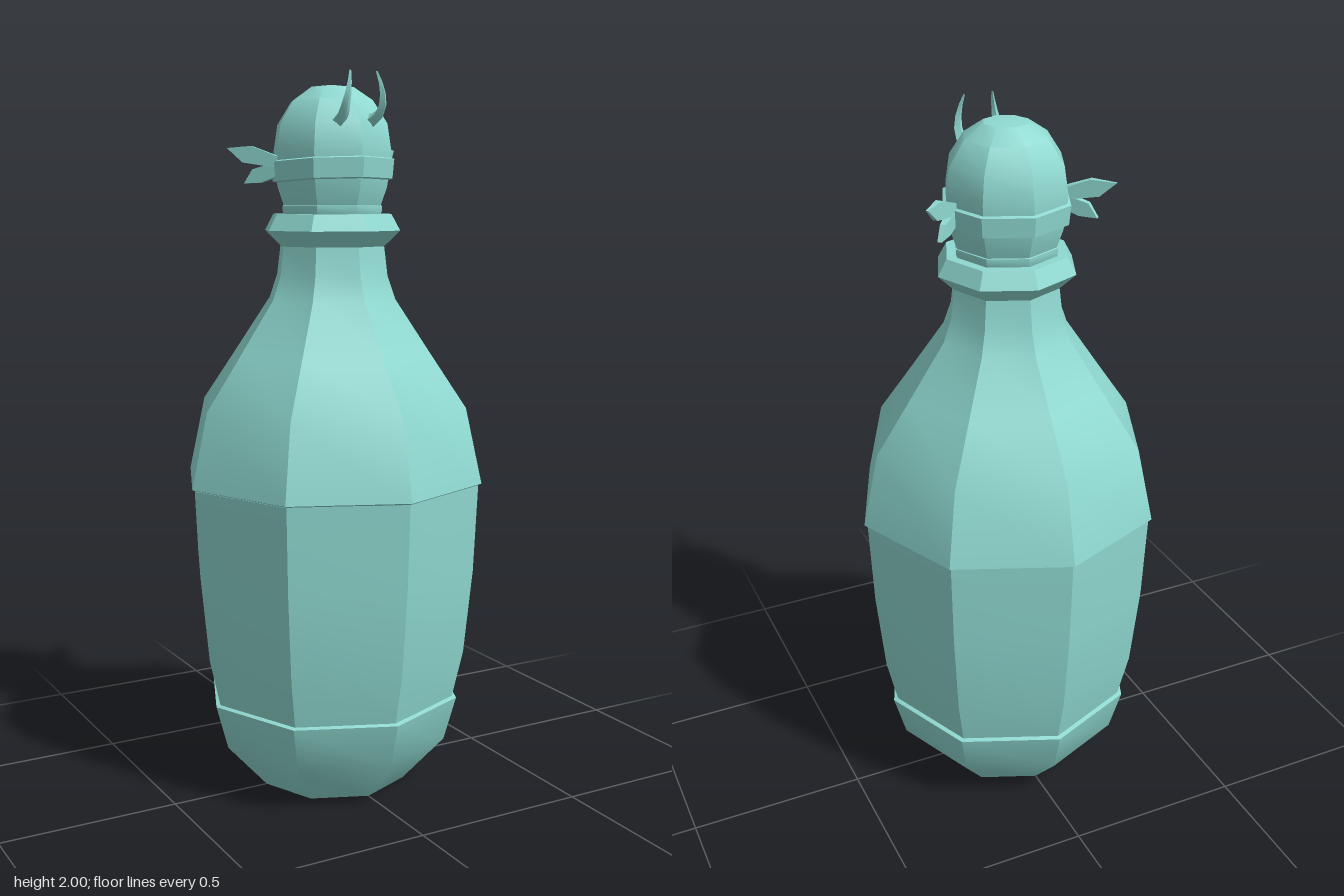
import * as THREE from 'three';
import { toCreasedNormals } from 'three/addons/utils/BufferGeometryUtils.js';

const material = new THREE.MeshStandardMaterial({ color: 0x8fd9d1, side: THREE.DoubleSide });

function part(name, geometry, crease = 0.5) {
  const mesh = new THREE.Mesh(toCreasedNormals(geometry, crease), material);
  mesh.name = name;
  return mesh;
}

// Eight-sided turned part, with corners on the x and z axes
function turned(name, profile) {
  const points = profile.map(([r, y]) => new THREE.Vector2(r, y));
  return part(name, new THREE.LatheGeometry(points, 8));
}

// Thin leaf in the xy plane, growing thinner towards its tip
function leaf(name, outline, thickness) {
  const shape = new THREE.Shape(outline.map(([x, y]) => new THREE.Vector2(x, y)));
  const geometry = new THREE.ExtrudeGeometry(shape, { depth: thickness, bevelEnabled: false });
  geometry.translate(0, 0, -thickness / 2);
  const p = geometry.attributes.position;
  for (let i = 0; i < p.count; i++) p.setZ(i, p.getZ(i) * (1 - 5.5 * p.getX(i)));
  return part(name, geometry);
}

// Four-sided curved horn, tapering along its path
function horn(name, path, radius) {
  const curve = new THREE.CatmullRomCurve3(path.map((p) => new THREE.Vector3(...p)));
  const steps = 6, sides = 4;
  const geometry = new THREE.TubeGeometry(curve, steps, radius, sides);
  const p = geometry.attributes.position;
  const v = new THREE.Vector3();
  for (let i = 0; i < p.count; i++) {
    const t = Math.floor(i / (sides + 1)) / steps;
    const centre = curve.getPointAt(t);
    v.fromBufferAttribute(p, i).sub(centre).multiplyScalar(1 - 0.88 * t).add(centre);
    p.setXYZ(i, v.x, v.y, v.z);
  }
  return part(name, geometry);
}

export function createModel() {
  const model = new THREE.Group();
  model.name = 'bottle';

  // Body in three stacked sections
  model.add(turned('base', [
    [0, 0.012], [0.19, 0.006], [0.215, 0.002], [0.335, 0.135], [0.37, 0.262], [0.357, 0.266],
  ]));
  model.add(turned('belly', [
    [0.357, 0.264], [0.388, 0.4], [0.412, 0.64], [0.423, 0.885],
  ]));
  model.add(turned('shoulder', [
    [0.42, 0.885], [0.432, 0.89], [0.385, 1.1], [0.283, 1.248], [0.183, 1.395],
    [0.16, 1.46], [0.15, 1.54],
  ]));

  // Lip and inner throat
  model.add(turned('lip', [
    [0.15, 1.54], [0.195, 1.583], [0.17, 1.628], [0.142, 1.628], [0.13, 1.6],
  ]));
  model.add(turned('neckRing', [
    [0.125, 1.6], [0.143, 1.635], [0.143, 1.65], [0.13, 1.655],
  ]));

  // Domed stopper shaped as a head
  model.add(turned('head', [
    [0.12, 1.6], [0.14, 1.652], [0.157, 1.7], [0.166, 1.76], [0.168, 1.8],
    [0.157, 1.87], [0.116, 1.932], [0.062, 1.968], [0, 1.975],
  ]));

  // Head band, raised at the front
  const band = turned('headBand', [
    [0.155, 1.712], [0.172, 1.716], [0.177, 1.768], [0.16, 1.774],
  ]);
  const p = band.geometry.attributes.position;
  for (let i = 0; i < p.count; i++) p.setY(i, p.getY(i) + 0.06 * Math.max(0, p.getZ(i)));
  model.add(band);

  // Ears and horns on both sides
  for (const side of [1, -1]) {
    const half = new THREE.Group();
    half.name = side > 0 ? 'leftFeatures' : 'rightFeatures';

    const ear = leaf('upperEar', [
      [0, 1.75], [0.105, 1.766], [0.15, 1.805], [0.08, 1.81], [0, 1.78],
    ], 0.034);
    ear.position.set(0.152, 0, -0.012);
    ear.rotation.y = 0.72;

    const lobe = leaf('lowerEar', [
      [0, 1.73], [0.05, 1.712], [0.1, 1.71], [0.075, 1.748], [0, 1.768],
    ], 0.026);
    lobe.position.set(0.154, 0, -0.016);
    lobe.rotation.y = 0.8;

    half.add(ear, lobe, horn('horn', [
      [0.045, 1.872, 0.105], [0.052, 1.88, 0.15], [0.056, 1.91, 0.176],
      [0.05, 1.955, 0.184], [0.04, 2.0, 0.172],
    ], 0.022));
    half.scale.x = side;
    model.add(half);
  }
  return model;
}
